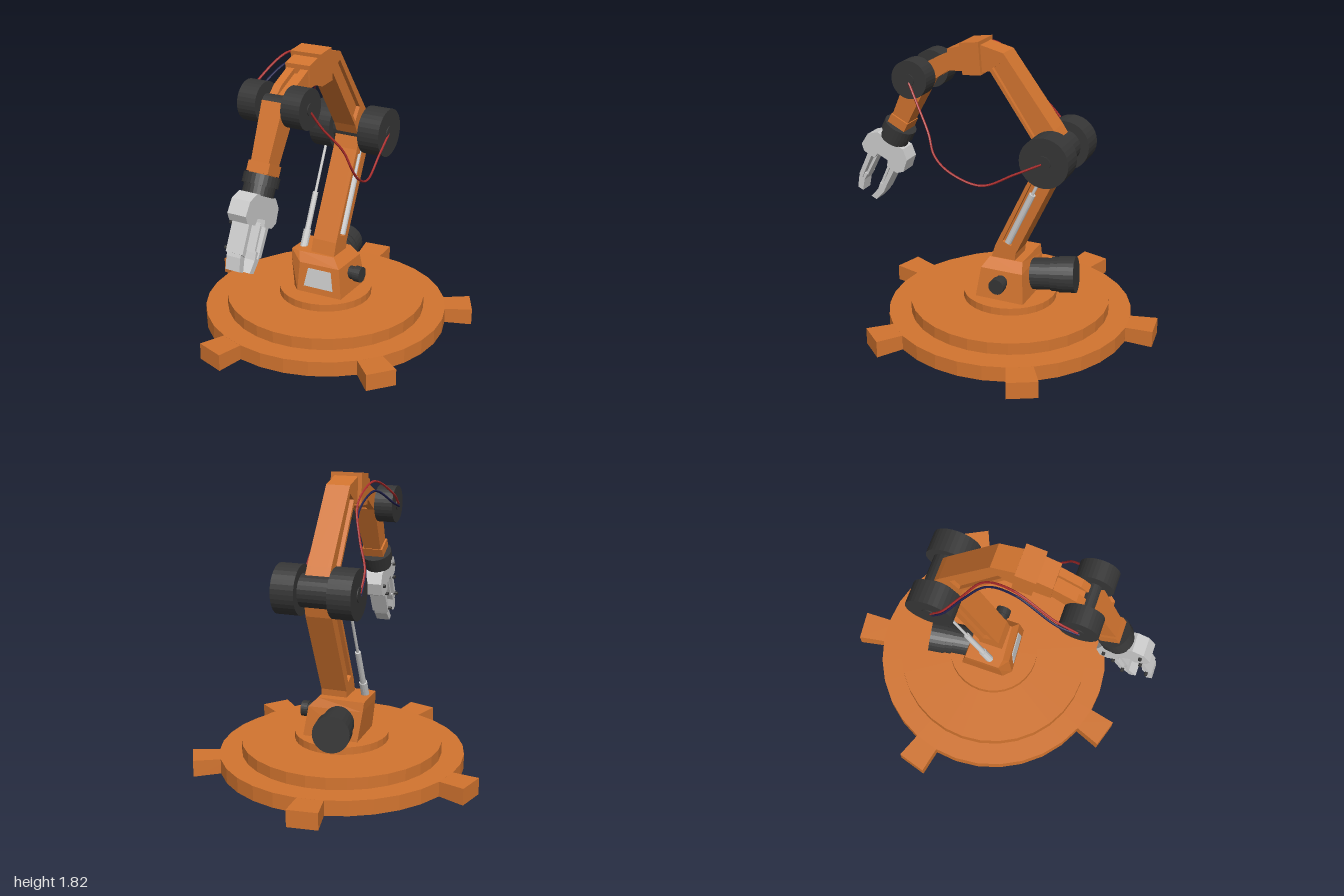
import * as THREE from 'three';

const mat = (color) => new THREE.MeshStandardMaterial({ color, flatShading: true });
const ORANGE = mat(0xd2742f), DARK = mat(0x363636), GREY = mat(0xcccccc);
const RED = mat(0xa82a2a), NAVY = mat(0x20204c);
const V = (p) => new THREE.Vector3(...p);

function add(parent, name, geometry, material, pos = [0, 0, 0]) {
  const mesh = new THREE.Mesh(geometry, material);
  mesh.name = name;
  mesh.position.set(...pos);
  parent.add(mesh);
  return mesh;
}

// Cylinder running between two points
function rod(parent, name, a, b, r, material, sides = 24, r2 = r) {
  const p = V(a), q = V(b);
  const mesh = add(parent, name, new THREE.CylinderGeometry(r2, r, p.distanceTo(q), sides), material);
  mesh.position.copy(p).lerp(q, 0.5);
  mesh.quaternion.setFromUnitVectors(new THREE.Vector3(0, 1, 0), q.sub(p).normalize());
  return mesh;
}

// Side outline given as (z, y) points, extruded along x around x = cx
function plate(parent, name, pts, w, material, cx = 0, hole) {
  const toV2 = (list) => list.map((p) => new THREE.Vector2(...p));
  const shape = new THREE.Shape(toV2(pts));
  if (hole) shape.holes.push(new THREE.Path(toV2(hole)));
  const g = new THREE.ExtrudeGeometry(shape, { depth: w, bevelEnabled: false });
  g.translate(0, 0, -w / 2).rotateY(-Math.PI / 2);
  return add(parent, name, g, material, [cx, 0, 0]);
}

// Arm link: solid core with a recessed panel on both sides
function link(parent, name, pts, hole, w) {
  const rim = 0.025;
  plate(parent, name + 'Core', pts, w - 2 * rim, ORANGE);
  for (const s of [-1, 1]) plate(parent, name + 'Rim', pts, rim, ORANGE, s * (w - rim) / 2, hole);
}

// Closed solid from stacked rings of equal corner count, each {y, pts: [x, z]}
function loft(rings) {
  const pos = [], n = rings[0].pts.length;
  const at = (i, j) => [rings[i].pts[j % n][0], rings[i].y, rings[i].pts[j % n][1]];
  for (let i = 0; i < rings.length - 1; i++)
    for (let j = 0; j < n; j++) {
      const a = at(i, j), b = at(i, j + 1), c = at(i + 1, j + 1), d = at(i + 1, j);
      pos.push(...a, ...d, ...c, ...a, ...c, ...b);
    }
  const last = rings.length - 1;
  for (let j = 1; j < n - 1; j++) {
    pos.push(...at(0, 0), ...at(0, j), ...at(0, j + 1));
    pos.push(...at(last, 0), ...at(last, j + 1), ...at(last, j));
  }
  const g = new THREE.BufferGeometry();
  g.setAttribute('position', new THREE.Float32BufferAttribute(pos, 3));
  g.computeVertexNormals();
  return g;
}

// Pair of drums on an axle along x
function joint(parent, name, y, z, r, inner, outer, axleR, hubR) {
  rod(parent, name + 'Axle', [-inner, y, z], [inner, y, z], axleR, DARK);
  for (const s of [-1, 1]) {
    rod(parent, name + 'Drum', [s * inner, y, z], [s * outer, y, z], r, DARK, 32);
    rod(parent, name + 'Hub', [s * outer, y, z], [s * (outer + 0.006), y, z], hubR, DARK);
  }
}

function cable(parent, name, pts, material) {
  add(parent, name, new THREE.TubeGeometry(new THREE.CatmullRomCurve3(pts.map(V)), 48, 0.007, 6), material);
}

function createBase(root) {
  const base = new THREE.Group();
  base.name = 'base';
  base.position.set(0.03, 0, -0.07);
  root.add(base);
  for (const [r, y0, y1] of [[0.77, 0.005, 0.1], [0.63, 0.1, 0.175], [0.295, 0.175, 0.222]])
    add(base, 'baseDisc', new THREE.CylinderGeometry(r, r, y1 - y0, 32), ORANGE, [0, (y0 + y1) / 2, 0]);
  // Feet flare towards their outer ends
  for (const deg of [-163.6, -96.2, -27.7, 40.1, 107.2]) {
    const g = new THREE.BoxGeometry(0.24, 0.09, 0.15);
    const p = g.attributes.position;
    for (let i = 0; i < p.count; i++)
      if (p.getX(i) > 0) p.setXYZ(i, p.getX(i), p.getY(i) * 1.17, p.getZ(i) * 1.24);
    g.translate(0.815, 0.0525, 0);
    add(base, 'foot', g, ORANGE).rotation.y = -deg * Math.PI / 180;
  }
}

function createTurret(root) {
  const turret = new THREE.Group();
  turret.name = 'turret';
  root.add(turret);
  add(turret, 'housing', loft([
    { y: 0.22, pts: [[-0.13, -0.24], [0.225, -0.24], [0.225, 0.08], [-0.08, 0.1], [-0.13, 0.05]] },
    { y: 0.41, pts: [[-0.155, -0.21], [0.195, -0.22], [0.195, 0.055], [-0.075, 0.075], [-0.155, 0.04]] },
    { y: 0.468, pts: [[-0.16, -0.2], [0.14, -0.2], [0.14, 0.02], [-0.1, 0.04], [-0.16, 0.03]] },
  ]), ORANGE);
  // Front window, wider at the bottom
  const pane = new THREE.Shape([[-0.1, -0.06], [0.1, -0.06], [0.078, 0.06], [-0.078, 0.06]].map((p) => new THREE.Vector2(...p)));
  const win = add(turret, 'window', new THREE.ExtrudeGeometry(pane, { depth: 0.008, bevelEnabled: false }), GREY, [0.065, 0.322, 0.074]);
  win.rotation.set(-0.13, 0.07, 0);
  // Side knob
  rod(turret, 'knobStem', [0.18, 0.34, -0.085], [0.245, 0.34, -0.085], 0.042, DARK);
  rod(turret, 'knob', [0.24, 0.34, -0.085], [0.285, 0.34, -0.085], 0.05, DARK);
  // Rear motor in stepped sections
  const a = V([0.0, 0.33, -0.2]), b = V([-0.05, 0.355, -0.485]);
  for (const [t0, t1, r] of [[0, 0.48, 0.1], [0.48, 0.64, 0.108], [0.64, 1, 0.114]])
    rod(turret, 'motor', a.clone().lerp(b, t0).toArray(), a.clone().lerp(b, t1).toArray(), r, DARK, 28);
}

// Telescopic cylinder; steps are [start, end, radius] along the path
function piston(parent, name, a, b, steps) {
  for (const [t0, t1, r] of steps)
    rod(parent, name, V(a).lerp(V(b), t0).toArray(), V(a).lerp(V(b), t1).toArray(), r, GREY, 12);
}

function createGripper(arm) {
  const hand = new THREE.Group();
  hand.name = 'wristAndGripper';
  hand.position.set(0, 1.575, 0.49);
  hand.rotation.x = -0.464;
  arm.add(hand);
  // Tapered wrist beam, collar and rotary discs
  const beam = new THREE.CylinderGeometry(0.1, 0.078, 0.4, 4, 1).rotateY(Math.PI / 4);
  add(hand, 'wristBeam', beam, ORANGE, [0, -0.2, 0]);
  add(hand, 'wristCollar', new THREE.BoxGeometry(0.14, 0.06, 0.125), ORANGE, [0, -0.365, 0]);
  add(hand, 'wristDisc', new THREE.CylinderGeometry(0.104, 0.104, 0.06, 28), DARK, [0, -0.43, 0]);
  add(hand, 'wristDiscLower', new THREE.CylinderGeometry(0.09, 0.09, 0.06, 28), DARK, [0, -0.485, 0]);
  // Palm
  plate(hand, 'palm', [[-0.1, -0.51], [-0.155, -0.56], [-0.165, -0.645], [-0.13, -0.68], [-0.05, -0.68],
    [-0.04, -0.64], [0.04, -0.64], [0.05, -0.68], [0.13, -0.68], [0.165, -0.645], [0.155, -0.56], [0.1, -0.51]], 0.12, GREY);
  for (const s of [-1, 1]) {
    plate(hand, 'finger', [[s * 0.075, -0.66], [s * 0.105, -0.66], [s * 0.1, -0.85], [s * 0.07, -0.86], [s * 0.072, -0.83]], 0.11, GREY);
    plate(hand, 'fingerLever', [[s * 0.045, -0.66], [s * 0.062, -0.66], [s * 0.066, -0.83], [s * 0.05, -0.83]], 0.07, GREY);
    plate(hand, 'fingerTip', [[s * 0.05, -0.82], [s * 0.1, -0.83], [s * 0.098, -0.87], [s * 0.075, -0.945], [s * 0.035, -0.945], [s * 0.055, -0.87]], 0.09, GREY);
    for (const [z, y] of [[0.12, -0.6], [0.09, -0.69], [0.08, -0.83]])
      rod(hand, 'pivotBolt', [-0.05, y, s * z], [-0.076, y, s * z], 0.011, DARK, 8);
  }
}

function createArm(root) {
  const arm = new THREE.Group();
  arm.name = 'arm';
  arm.position.x = 0.053;
  root.add(arm);
  link(arm, 'lowerArm',
    [[0.012, 0.46], [-0.015, 0.55], [-0.27, 1.09], [-0.32, 1.25], [-0.44, 1.23], [-0.4, 1.04], [-0.15, 0.51], [-0.145, 0.46]],
    [[-0.062, 0.585], [-0.28, 1.06], [-0.335, 1.04], [-0.12, 0.56]], 0.165);
  link(arm, 'upperArm',
    [[0.08, 1.8], [-0.065, 1.765], [-0.385, 1.34], [-0.45, 1.24], [-0.42, 1.14], [-0.31, 1.15], [-0.26, 1.25], [0.02, 1.65], [0.08, 1.635]],
    [[0.005, 1.67], [-0.06, 1.715], [-0.315, 1.36], [-0.26, 1.28]], 0.15);
  // Shoulder sleeve
  plate(arm, 'sleeve', [[0.205, 1.805], [0.083, 1.822], [0.068, 1.625], [0.185, 1.615]], 0.2, ORANGE);
  // Forked link to the wrist
  plate(arm, 'forkRoot', [[0.195, 1.785], [0.295, 1.757], [0.29, 1.625], [0.185, 1.635]], 0.16, ORANGE);
  for (const s of [-1, 1])
    plate(arm, 'forkProng', [[0.285, 1.735], [0.43, 1.665], [0.54, 1.56], [0.45, 1.53], [0.37, 1.57], [0.285, 1.63]], 0.05, ORANGE, s * 0.045);
  plate(arm, 'forkWeb', [[0.285, 1.705], [0.46, 1.62], [0.46, 1.54], [0.37, 1.575], [0.285, 1.635]], 0.05, ORANGE);
  joint(arm, 'elbow', 1.195, -0.39, 0.152, 0.1, 0.245, 0.1, 0.045);
  joint(arm, 'wrist', 1.575, 0.49, 0.117, 0.082, 0.2, 0.05, 0.035);
  // Hydraulic cylinders
  piston(arm, 'sidePiston', [0.078, 0.58, -0.1], [0.078, 1.07, -0.325], [[0, 0.7, 0.021], [0.7, 1, 0.01]]);
  piston(arm, 'longPiston', [-0.17, 0.45, -0.04], [-0.17, 1.15, -0.36], [[0, 0.16, 0.025], [0.16, 0.48, 0.018], [0.48, 1, 0.009]]);
  createGripper(arm);
}

export function createModel() {
  const root = new THREE.Group();
  root.name = 'roboticArm';
  createBase(root);
  createTurret(root);
  createArm(root);
  // Cables from elbow to wrist
  cable(root, 'leftCable', [[0.255, 1.56, 0.49], [0.29, 1.45, 0.42], [0.36, 1.3, 0.31], [0.39, 1.18, 0.26],
    [0.385, 1.09, 0.17], [0.35, 1.02, -0.02], [0.32, 1.11, -0.22], [0.3, 1.19, -0.38]], RED);
  const right = [[-0.195, 1.2, -0.38], [-0.195, 1.32, -0.3], [-0.13, 1.47, -0.2], [-0.075, 1.66, -0.08],
    [-0.11, 1.77, 0.1], [-0.16, 1.66, 0.36], [-0.155, 1.58, 0.49]];
  cable(root, 'rightCable', right, RED);
  cable(root, 'rightCableDark', right.map(([x, y, z], i) => [x, y - (i > 2 && i < 6 ? 0.06 : 0.02), z + 0.01]), NAVY);
  return root;
}
